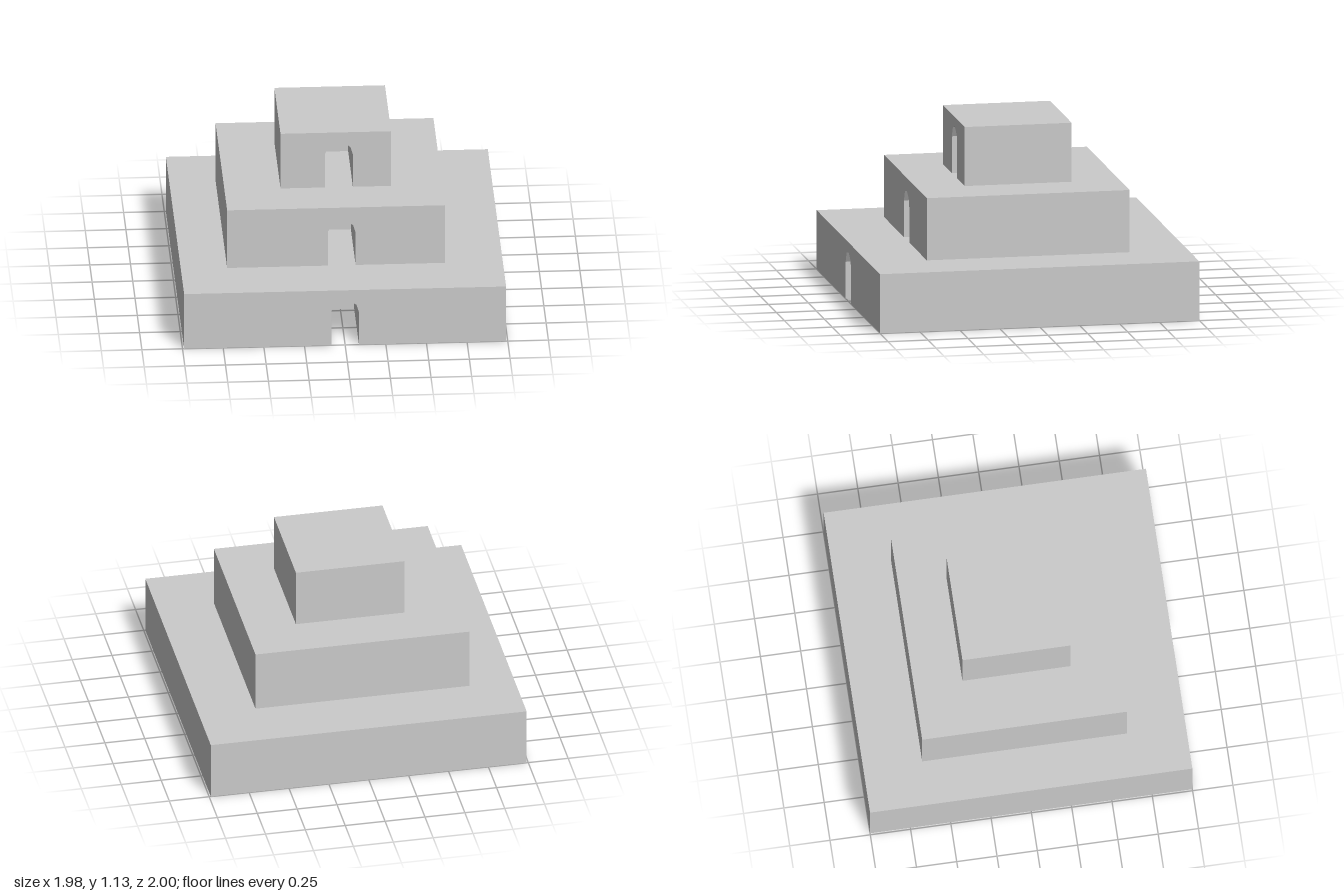
import * as THREE from 'three';

const material = new THREE.MeshStandardMaterial({ color: 0xcccccc, flatShading: true });

// Low-poly arch: [x, height above the tier's base], from left foot to right foot
const arch = [[-0.085, 0], [-0.085, 0.23], [-0.05, 0.295], [0.01, 0.31], [0.07, 0.27], [0.085, 0.22], [0.085, 0]];
const nicheDepth = 0.52;

// One stepped block with an arched niche cut into its front
function makeTier({ name, x0, x1, z0, z1, y0, y1 }) {
  const tier = new THREE.Group();
  tier.name = name;
  const w = x1 - x0, h = y1 - y0, zSplit = z1 - nicheDepth;

  // Front part: outline notched by the arch, extruded over the niche depth
  const outline = new THREE.Shape();
  outline.moveTo(x0, 0);
  arch.forEach(([x, y]) => outline.lineTo(x, y));
  outline.lineTo(x1, 0);
  outline.lineTo(x1, h);
  outline.lineTo(x0, h);
  outline.closePath();
  const front = new THREE.Mesh(
    new THREE.ExtrudeGeometry(outline, { depth: nicheDepth, bevelEnabled: false }), material);
  front.name = name + 'ArchedFront';
  front.position.set(0, y0, zSplit);

  // Solid rear part, which also closes the niche
  const rear = new THREE.Mesh(new THREE.BoxGeometry(w, h, zSplit - z0), material);
  rear.name = name + 'Rear';
  rear.position.set((x0 + x1) / 2, y0 + h / 2, (z0 + zSplit) / 2);

  tier.add(front, rear);
  return tier;
}

export function createModel() {
  const model = new THREE.Group();
  model.name = 'steppedPyramid';
  const tiers = [
    { name: 'lowerTier', x0: -0.99, x1: 0.99, z0: -1, z1: 1, y0: 0, y1: 0.37 },
    { name: 'middleTier', x0: -0.705, x1: 0.635, z0: -0.635, z1: 0.635, y0: 0.37, y1: 0.76 },
    { name: 'upperTier', x0: -0.36, x1: 0.32, z0: -0.335, z1: 0.335, y0: 0.76, y1: 1.13 },
  ];
  tiers.forEach((t) => model.add(makeTier(t)));
  return model;
}
